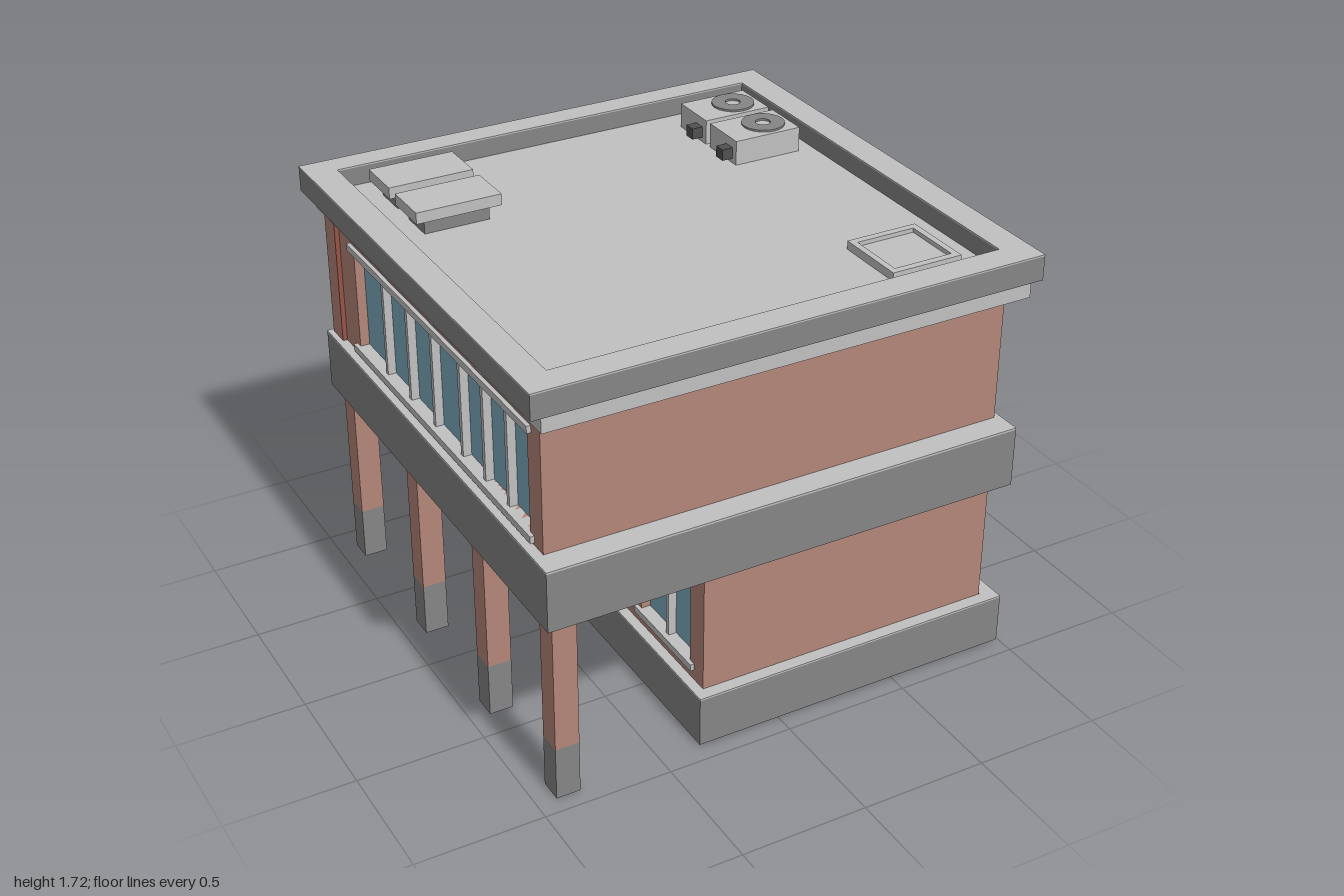
import * as THREE from 'three';

const mat = (name, color) => {
  const m = new THREE.MeshStandardMaterial({ color });
  m.name = name;
  return m;
};

export function createModel() {
  const M = {
    brick: mat('salmon brick', 0xb58679),
    red: mat('brick red', 0x985446),
    light: mat('light grey', 0xc0c0c0),
    mid: mat('concrete grey', 0x858585),
    glass: mat('window blue', 0x7dabc0),
    dark: mat('dark grey', 0x505050),
  };
  const root = new THREE.Group();
  root.name = 'building';

  // Box given by its limits on each axis
  const box = (name, m, x0, x1, y0, y1, z0, z1, parent = root) => {
    const mesh = new THREE.Mesh(new THREE.BoxGeometry(x1 - x0, y1 - y0, z1 - z0), m);
    mesh.position.set((x0 + x1) / 2, (y0 + y1) / 2, (z0 + z1) / 2);
    mesh.name = name;
    parent.add(mesh);
    return mesh;
  };
  const rect = (path, a, b, c, d) =>
    path.moveTo(a, c).lineTo(b, c).lineTo(b, d).lineTo(a, d).lineTo(a, c);

  // Rectangular ring, open in the middle
  const ring = (name, m, o, i, y0, y1) => {
    const s = rect(new THREE.Shape(), o[0], o[1], -o[3], -o[2]);
    s.holes.push(rect(new THREE.Path(), i[0], i[1], -i[3], -i[2]));
    const g = new THREE.ExtrudeGeometry(s, { depth: y1 - y0, bevelEnabled: false });
    const mesh = new THREE.Mesh(g.rotateX(-Math.PI / 2), m);
    mesh.position.y = y0;
    mesh.name = name;
    root.add(mesh);
  };

  // Wall with openings, panes, mullions, headers and sills; local +z points outward
  const T = 0.05;
  const facade = (name, pos, turn, sign, span, y0, y1, windows) => {
    const g = new THREE.Group();
    g.name = name;
    g.position.set(...pos);
    g.rotation.y = turn;
    const u = (a, b) => [Math.min(sign * a, sign * b), Math.max(sign * a, sign * b)];
    const shape = rect(new THREE.Shape(), ...u(...span), y0, y1);
    for (const w of windows) {
      const [a, b] = u(w.from, w.to);
      shape.holes.push(rect(new THREE.Path(), a, b, w.y0, w.y1));
      box('pane', w.m || M.glass, a, b, w.y0, w.y1, -0.045, -0.037, g);
      for (const c of w.bars || [])
        box('mullion', M.light, sign * c - 0.01, sign * c + 0.01, w.y0, w.y1, -0.037, -0.005, g);
      if (w.plain) continue;
      box('header', M.light, a - 0.03, b + 0.03, w.y1, w.y1 + 0.028, -0.04, 0.016, g);
      box('sill', M.light, a - 0.03, b + 0.03, w.y0 - 0.028, w.y0, -0.04, 0.016, g);
    }
    const geo = new THREE.ExtrudeGeometry(shape, { depth: T, bevelEnabled: false });
    const wall = new THREE.Mesh(geo.translate(0, 0, -T), M.brick);
    wall.name = 'wall';
    g.add(wall);
    root.add(g);
  };
  const Q = Math.PI / 2;

  // Ground floor
  box('groundFloorCore', M.brick, -0.25, 0.87, 0.21, 0.76, -0.345, 0.88);
  box('groundFloorSlab', M.light, -0.25, 0.87, 0.2, 0.21, -0.345, 0.83);
  box('groundFrontWall', M.brick, -0.3, 0.92, 0.1, 0.215, 0.83, 0.88);
  const small = [
    { from: 0.42, to: 0.785, y0: 0.285, y1: 0.68, bars: [0.607] },
    { from: -0.185, to: 0.18, y0: 0.285, y1: 0.68, bars: [0] },
  ];
  facade('groundRightWall', [0.92, 0, 0], Q, -1, [-0.395, 0.88], 0.1, 0.76, small);
  facade('groundLeftWall', [-0.3, 0, 0], -Q, 1, [-0.395, 0.88], 0.1, 0.76, small);
  facade('groundBackWall', [0, 0, -0.395], Math.PI, -1, [-0.3, 0.92], 0.03, 0.76, [
    { from: 0.36, to: 0.82, y0: 0.285, y1: 0.705, bars: [0.59], m: M.red },
    { from: -0.17, to: 0.1, y0: 0.05, y1: 0.7, plain: true },
  ]);
  box('threshold', M.red, -0.3, 0.92, 0.012, 0.05, -0.43, -0.345);
  box('doorJamb', M.red, 0.1, 0.108, 0.05, 0.7, -0.4, -0.35);
  box('doorJamb', M.red, -0.178, -0.17, 0.05, 0.7, -0.4, -0.35);

  // Plinth around the ground floor, open at the door
  for (const [y0, y1, m, n] of [[0.01, 0.208, M.mid, 'plinth'], [0.208, 0.215, M.light, 'plinthCap']]) {
    box(n, m, -0.34, 0.985, y0, y1, 0.88, 0.93);
    box(n, m, 0.925, 0.985, y0, y1, -0.44, 0.88);
    box(n, m, -0.34, -0.3, y0, y1, -0.44, 0.88);
    box(n, m, 0.16, 0.925, y0, y1, -0.44, -0.395);
    box(n, m, -0.3, -0.18, y0, y1, -0.44, -0.395);
  }

  // Columns along the back and left edges
  const xs = [-0.875, -0.285, 0.26, 0.82], zs = [0.885, 0.34, -0.24];
  const spots = [...xs.map((x) => [x, -0.85]), ...zs.map((z) => [-0.875, z])];
  for (const [x, z] of spots) {
    box('columnFoot', M.mid, x - 0.047, x + 0.047, 0, 0.215, z - 0.047, z + 0.047);
    box('column', M.brick, x - 0.047, x + 0.047, 0.215, 0.76, z - 0.047, z + 0.047);
  }

  // Slab between the floors, with a panel at the back
  box('middleSlab', M.mid, -0.96, 0.945, 0.76, 0.994, -0.93, 0.98);
  box('middleSlabTop', M.light, -0.96, 0.945, 0.994, 1.002, -0.93, 0.98);
  box('backPanel', M.light, -0.335, 0.3, 0.77, 0.905, -0.96, -0.93);

  // Upper floor
  box('upperFloorCore', M.brick, -0.87, 0.87, 1, 1.53, -0.865, 0.88);
  const long = [{
    from: -0.68, to: 0.785, y0: 1.04, y1: 1.44,
    bars: [0.607, 0.42, 0.235, 0, -0.216, -0.433],
  }];
  for (const s of [-1, 1])
    facade('upperSideWall', [s * 0.92, 0, 0], s * Q, -s, [-0.915, 0.88], 1, 1.53, long);
  facade('upperBackWall', [0, 0, -0.915], Math.PI, -1, [-0.92, 0.92], 1, 1.53, [
    { from: -0.83, to: 0.83, y0: 1.04, y1: 1.44, bars: [0.43, 0.02, -0.28, -0.57], m: M.red },
  ]);

  // Corner pilasters with red front faces
  const pilaster = (x0, x1, y0, y1, z0, z1) => {
    box('pilaster', M.brick, x0, x1, y0, y1, z0, z1 - 0.006);
    box('pilasterFace', M.red, x0, x1, y0, y1, z1 - 0.006, z1);
  };
  pilaster(0.92, 0.935, 1, 1.53, -0.915, -0.82);
  pilaster(-0.938, -0.92, 1, 1.53, -0.915, -0.82);
  pilaster(0.92, 0.935, 0.215, 0.76, -0.4, -0.31);
  pilaster(-0.33, -0.3, 0.215, 0.76, -0.4, -0.31);

  // Roof: cornice, deck, parapet and its cap
  box('cornice', M.light, -0.96, 0.955, 1.53, 1.59, -0.935, 0.975);
  box('roofSlab', M.mid, -1, 1, 1.59, 1.605, -0.982, 0.982);
  box('roofDeck', M.light, -0.885, 0.885, 1.605, 1.612, -0.88, 0.87);
  const outer = [-1, 1, -0.982, 0.982], inner = [-0.885, 0.885, -0.88, 0.87];
  ring('parapet', M.mid, outer, inner, 1.605, 1.684);
  ring('parapetCap', M.light, outer, inner, 1.684, 1.69);

  // Roof vents
  for (const z of [-0.68, -0.435]) {
    box('ventBase', M.mid, -0.76, -0.5, 1.612, 1.67, z - 0.07, z + 0.07);
    box('ventLid', M.light, -0.8, -0.46, 1.67, 1.715, z - 0.095, z + 0.095);
  }

  // Cooling units with fan rings and pipe boxes
  for (const [z, pipe] of [[-0.667, -0.62], [-0.437, -0.388]]) {
    box('coolingUnit', M.light, 0.535, 0.82, 1.612, 1.711, z - 0.1, z + 0.1);
    const fan = new THREE.Shape().absarc(0, 0, 0.085, 0, Math.PI * 2);
    fan.holes.push(new THREE.Path().absarc(0, 0, 0.03, 0, Math.PI * 2));
    const geo = new THREE.ExtrudeGeometry(fan, { depth: 0.008, bevelEnabled: false, curveSegments: 10 });
    const mesh = new THREE.Mesh(geo.rotateX(-Q), M.mid);
    mesh.position.set(0.715, 1.711, z);
    mesh.name = 'fanRing';
    root.add(mesh);
    box('pipeBox', M.dark, 0.49, 0.535, 1.63, 1.675, pipe - 0.024, pipe + 0.024);
  }

  // Roof hatch
  ring('hatchFrame', M.light, [0.51, 0.8, 0.48, 0.77], [0.535, 0.775, 0.508, 0.742], 1.612, 1.645);
  box('hatchLid', M.light, 0.535, 0.775, 1.612, 1.628, 0.508, 0.742);

  return root;
}
